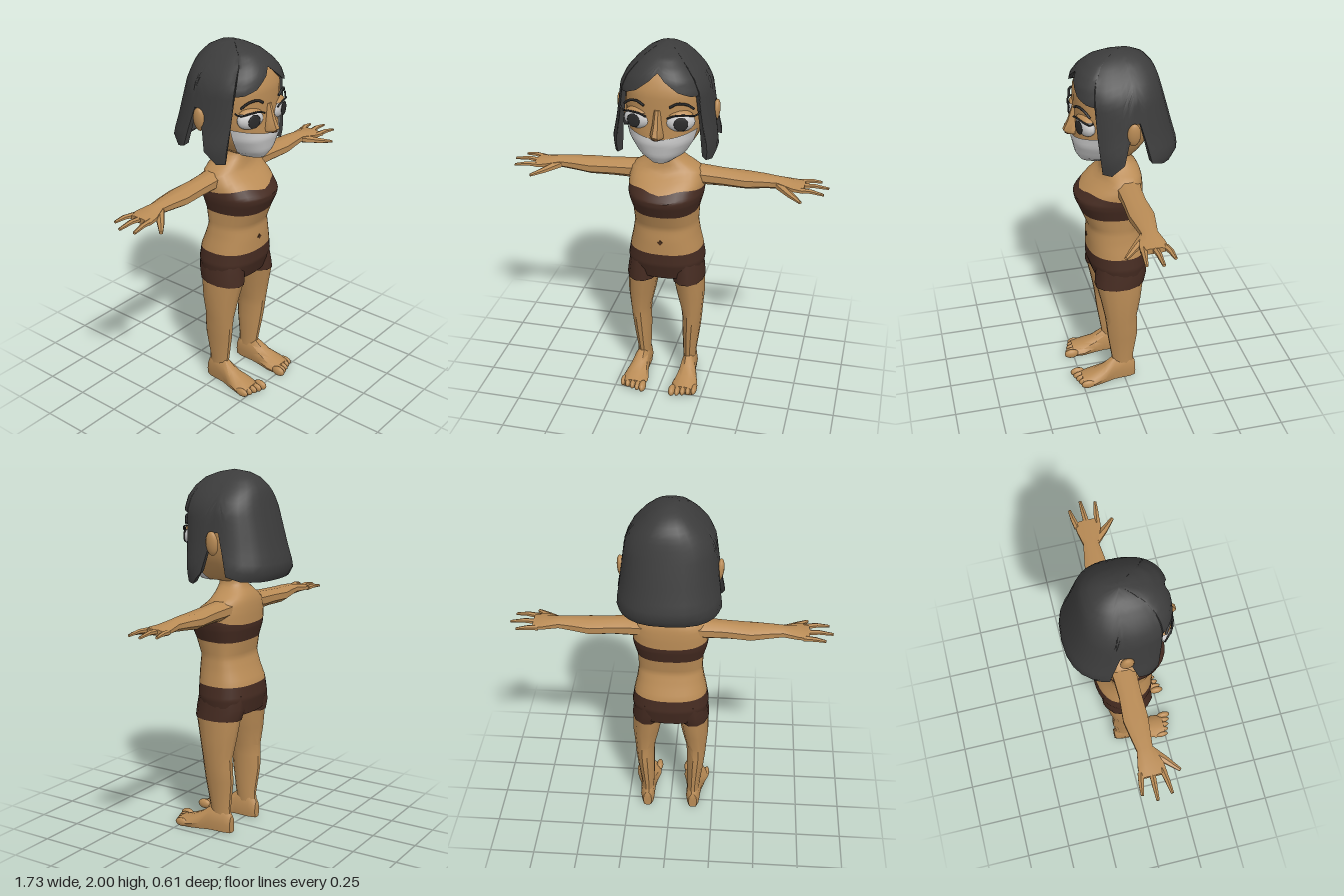
import * as THREE from 'three';
import { toCreasedNormals } from 'three/addons/utils/BufferGeometryUtils.js';

const flat = (name, color) => Object.assign(new THREE.MeshStandardMaterial({ color, side: THREE.DoubleSide }), { name });

// Interpolated row of a profile whose first number is the key
function sample(rows, k) {
  let i = 1;
  while (i < rows.length - 1 && rows[i][0] < k) i++;
  const a = rows[i - 1], b = rows[i];
  const t = THREE.MathUtils.clamp((k - a[0]) / (b[0] - a[0]), 0, 1);
  return a.map((v, n) => v + (b[n] - v) * t);
}

// Grid surface from a point rule; u runs around, v runs along
function surface(point, nu, nv, wrap = true, flip = false) {
  const pos = [], index = [], cols = wrap ? nu : nu + 1;
  for (let j = 0; j <= nv; j++) for (let i = 0; i < cols; i++) pos.push(...point(i, j));
  for (let j = 0; j < nv; j++) for (let i = 0; i < nu; i++) {
    const a = j * cols + i, b = j * cols + (i + 1) % cols, c = b + cols, d = a + cols;
    index.push(...(flip ? [a, c, b, a, d, c] : [a, b, c, a, c, d]));
  }
  const g = new THREE.BufferGeometry();
  g.setAttribute('position', new THREE.Float32BufferAttribute(pos, 3));
  g.setIndex(index);
  return toCreasedNormals(g, 0.75);
}

// Rounded section [y, halfWidth, front, back] at angle a (0 = front)
function onBody(rows, a, y, p) {
  const [, w, f, b] = sample(rows, y), s = Math.sin(a), c = Math.cos(a);
  return [w * Math.sign(s) * Math.abs(s) ** p, y, (c > 0 ? f : b) * Math.abs(c) ** p];
}

// Capped loft of closed rings; turned outwards by its signed volume
function loft(rings) {
  const centre = r => r[0].map((_, k) => r.reduce((t, q) => t + q[k], 0) / r.length);
  const n = rings[0].length;
  const all = [rings[0].map(() => centre(rings[0])), ...rings, rings.at(-1).map(() => centre(rings.at(-1)))];
  const make = flip => surface((i, j) => all[j][i], n, all.length - 1, true, flip);
  const g = make(false), p = g.attributes.position;
  const [a, b, c] = [0, 1, 2].map(() => new THREE.Vector3());
  const o = new THREE.Vector3(...centre(rings[0]));
  let volume = 0;
  for (let i = 0; i < p.count; i += 3) {
    [a, b, c].forEach((v, k) => v.fromBufferAttribute(p, i + k).sub(o));
    volume += a.dot(b.cross(c));
  }
  return volume < 0 ? make(true) : g;
}
const ring = (n, f) => Array.from({ length: n }, (_, i) => {
  const a = ((i + 0.5) / n) * Math.PI * 2;
  return f(Math.sin(a), Math.cos(a));
});

const TORSO = [[0.69, 0.2, 0.15, -0.13], [0.78, 0.213, 0.18, -0.15], [0.86, 0.2, 0.18, -0.14], [0.93, 0.185, 0.18, -0.11],
  [1, 0.175, 0.175, -0.085], [1.09, 0.18, 0.21, -0.1], [1.16, 0.2, 0.24, -0.118], [1.19, 0.205, 0.243, -0.12],
  [1.25, 0.205, 0.185, -0.12], [1.31, 0.19, 0.1, -0.115], [1.35, 0.12, 0.09, -0.1], [1.39, 0.068, 0.085, -0.07], [1.5, 0.062, 0.08, -0.055]];
const HEAD = [[1.41, 0.07, 0.2, -0.02], [1.45, 0.13, 0.225, -0.08], [1.53, 0.18, 0.243, -0.14], [1.6, 0.2, 0.235, -0.16],
  [1.7, 0.21, 0.235, -0.18], [1.8, 0.21, 0.235, -0.18], [1.9, 0.15, 0.19, -0.14], [1.95, 0.05, 0.08, -0.06]];
const HAIR = [[1.41, 0.275, 0.215, -0.25], [1.44, 0.28, 0.22, -0.275], [1.49, 0.285, 0.23, -0.305], [1.6, 0.262, 0.242, -0.272],
  [1.7, 0.248, 0.25, -0.245], [1.8, 0.235, 0.256, -0.217], [1.86, 0.205, 0.245, -0.2], [1.91, 0.16, 0.215, -0.182],
  [1.957, 0.108, 0.16, -0.14], [1.985, 0.058, 0.085, -0.085], [2, 0, 0, 0]];
// Lower edge of the hair by angle from the front
const HAIR_EDGE = [[0, 1.9], [0.12, 1.865], [0.4, 1.81], [0.7, 1.785], [0.93, 1.78], [0.96, 1.42], [1.2, 1.415], [1.48, 1.48],
  [1.64, 1.69], [1.72, 1.69], [1.88, 1.47], [2.2, 1.445], [2.65, 1.438], [Math.PI, 1.438]];
const ARM = [[0.14, 1.275, -0.02, 0.045, 0.07], [0.2, 1.268, -0.015, 0.052, 0.066], [0.3, 1.265, -0.014, 0.047, 0.063], [0.43, 1.26, -0.017, 0.045, 0.07],
  [0.52, 1.264, -0.014, 0.038, 0.057], [0.6, 1.265, -0.011, 0.031, 0.045], [0.68, 1.26, -0.002, 0.023, 0.072], [0.74, 1.257, 0, 0.016, 0.078]];
const LEG = [[0.05, 0.135, 0, 0.036, 0.06], [0.15, 0.135, 0.008, 0.037, 0.064], [0.3, 0.143, 0.01, 0.05, 0.086], [0.38, 0.148, 0.015, 0.054, 0.09],
  [0.44, 0.148, 0.02, 0.059, 0.092], [0.55, 0.14, 0.02, 0.077, 0.113], [0.67, 0.128, 0.025, 0.087, 0.135]];
const SHORT_LEG = [[0.66, 0.128, 0.025, 0.091, 0.139], [0.72, 0.12, 0.015, 0.093, 0.145], [0.8, 0.11, 0.01, 0.09, 0.14]];
const FOOT = [[-0.065, 0.135, 0.1, 0.025], [-0.03, 0.135, 0.15, 0.041], [0.06, 0.138, 0.145, 0.044], [0.12, 0.143, 0.098, 0.057],
  [0.19, 0.145, 0.066, 0.074], [0.25, 0.145, 0.05, 0.068]];

export function createModel() {
  const model = new THREE.Group();
  const skin = flat('skin', 0xba8c56), hairMat = flat('hair', 0x3c3c3c), cloth = flat('brown cloth', 0x452b21);
  const white = flat('pale grey', 0xcacaca), dark = flat('pupil black', 0x2b2b2b), brown = flat('dark brown', 0x4a2f1c);
  const add = (name, geo, mat, parent = model) => {
    const m = new THREE.Mesh(geo, mat);
    m.name = name;
    parent.add(m);
    return m;
  };
  const ball = (name, mat, r, at, parent = model, theta = Math.PI) => {
    const m = add(name, new THREE.SphereGeometry(1, 14, 10, 0, Math.PI * 2, 0, theta), mat, parent);
    m.scale.set(...r);
    m.position.set(...at);
    return m;
  };
  const strand = (name, pts, r, mat, parent) =>
    add(name, new THREE.TubeGeometry(new THREE.CatmullRomCurve3(pts.map(p => new THREE.Vector3(...p))), 10, r, 5), mat, parent);

  // Torso in colour bands
  const N = 32;
  const band = (name, lo, hi, mat) => add(name, surface((i, j) => {
    const a = (i / N) * Math.PI * 2;
    return onBody(TORSO, a, lo(a) + (hi(a) - lo(a)) * j / 14, 0.85);
  }, N, 14), mat);
  const topEdge = a => 1.215 + 0.03 * Math.cos(a) - 0.025 * Math.exp(-((Math.min(a, Math.PI * 2 - a) / 0.3) ** 2));
  band('shorts', () => 0.69, () => 0.85, cloth);
  band('waist', () => 0.85, () => 1.09, skin);
  band('bandeau', () => 1.09, topEdge, cloth);
  band('shouldersAndNeck', topEdge, () => 1.5, skin);
  const crotch = add('shortsUnderside', new THREE.CircleGeometry(1, 24), cloth);
  crotch.rotation.x = Math.PI / 2;
  crotch.scale.set(0.19, 0.135, 1);
  crotch.position.set(0, 0.692, 0.01);
  const navel = add('navel', new THREE.CylinderGeometry(0.015, 0.015, 0.006, 4), brown);
  navel.rotation.x = Math.PI / 2;
  navel.position.set(0, 0.925, 0.18);

  // Head, and the pale lower face lying just over it
  add('head', surface((i, j) => {
    const a = (i / N) * Math.PI * 2;
    if (j === 0) return [0, 1.41, 0.09];
    return j === 17 ? [0, 1.96, 0] : onBody(HEAD, a, 1.41 + 0.54 * (j - 1) / 15, 0.8);
  }, N, 17), skin);
  add('lowerFace', surface((i, j) => {
    const a = -1.12 + 2.24 * i / 24, top = 1.555 + 0.045 * Math.abs(Math.sin(a));
    if (j === 0) return [0, 1.405, 0.1];
    const [x, y, z] = onBody(HEAD, a, 1.41 + (top - 1.41) * (j - 1) / 10, 0.8);
    return [x * 1.03, y - 0.003, z + 0.007];
  }, 24, 11, false), white);

  // Nose
  add('nose', loft([[1.563, 0.228, 0.036, 0.05], [1.58, 0.23, 0.036, 0.068], [1.63, 0.226, 0.026, 0.046], [1.71, 0.222, 0.018, 0.022]]
    .map(([y, z, rx, rz]) => ring(8, (s, c) => [s * rx, y, z + c * rz]))), skin);
  ball('noseUnderside', brown, [0.028, 0.004, 0.04], [0, 1.562, 0.245]);

  // Bobbed hair: shell with a turned-in lower rim
  const edges = [...HAIR_EDGE.slice(0, -1).flatMap((e, i) => [e, sample([e, HAIR_EDGE[i + 1]], (e[0] + HAIR_EDGE[i + 1][0]) / 2)]), HAIR_EDGE.at(-1)];
  const around = [...edges, ...edges.slice(1, -1).reverse().map(([a, y]) => [Math.PI * 2 - a, y])];
  add('hair', surface((i, j) => {
    const [a, low] = around[i];
    const k = Math.max(0, j - 1) / 20;
    const p = onBody(HAIR, a, low + (2 - low) * Math.sin(k * Math.PI / 2), 0.8);
    return j ? p : [p[0] * 0.9, p[1] + 0.012, p[2] * 0.9];
  }, around.length, 21), hairMat);

  for (const s of [1, -1]) {
    const side = s > 0 ? 'left' : 'right';
    const part = (name, rings, mat) => add(side + name, loft(rings), mat);

    // Eye with pupil, lid, lashes and brow
    const eye = new THREE.Group();
    eye.name = side + 'Eye';
    eye.position.set(0.112 * s, 1.645, 0.198);
    eye.rotation.y = 0.3 * s;
    model.add(eye);
    ball('eyeWhite', white, [0.077, 0.052, 0.04], [0, 0, 0], eye);
    ball('pupil', dark, [0.037, 0.037, 0.006], [0, 0, 0.039], eye);
    ball('eyelid', skin, [0.08, 0.062, 0.046], [0, 0.004, 0], eye, Math.PI * 0.3);
    strand('lashes', [[-0.07 * s, 0.03, 0.03], [-0.03 * s, 0.048, 0.042], [0.03 * s, 0.048, 0.04], [0.075 * s, 0.038, 0.02], [0.1 * s, 0.055, 0.01]], 0.005, dark, eye);
    strand('eyebrow', [[-0.058 * s, 0.088, 0.03], [-0.02 * s, 0.108, 0.034], [0.03 * s, 0.1, 0.025], [0.068 * s, 0.072, 0.012]], 0.007, dark, eye);
    ball(side + 'Ear', skin, [0.022, 0.065, 0.036], [0.254 * s, 1.635, -0.02]).rotation.z = -0.12 * s;

    // Arm and palm
    part('Arm', ARM.map(([x, y, z, ry, rz]) => ring(8, (u, v) => [x * s, y + u * ry, z + v * rz])), skin);

    // Fingers and thumb: [base, knuckle, tip]
    [[[0.71, 1.257, -0.06], [0.77, 1.262, -0.073], [0.825, 1.256, -0.08]],
      [[0.71, 1.257, -0.004], [0.79, 1.264, -0.008], [0.867, 1.255, -0.01]],
      [[0.71, 1.257, 0.05], [0.78, 1.262, 0.061], [0.847, 1.253, 0.07]],
      [[0.61, 1.258, 0.015], [0.675, 1.243, 0.085], [0.735, 1.232, 0.142]]].forEach((pts, f) => {
      const dx = pts[2][0] - pts[0][0], dz = pts[2][2] - pts[0][2], l = Math.hypot(dx, dz);
      const r = f === 3 ? [0.03, 0.02, 0.01] : [0.019, 0.015, 0.009];
      part(f === 3 ? 'Thumb' : 'Finger' + (f + 1), pts.map(([x, y, z], k) =>
        ring(6, (u, v) => [(x - v * r[k] * dz / l) * s, y + u * r[k] * 0.8, z + v * r[k] * dx / l])), skin);
    });

    // Leg and the leg of the shorts
    const legRings = rows => rows.map(([y, x, z, rx, rz]) => ring(12, (u, v) => [(x + u * rx) * s, y, z + v * rz]));
    part('Leg', legRings(LEG), skin);
    part('ShortsLeg', legRings(SHORT_LEG), cloth);

    // Foot with a flat sole, and toes
    part('Foot', FOOT.map(([z, x, top, rx]) => ring(10, (u, v) => [(x + u * rx) * s, Math.max(0, top * (0.4 + 0.62 * v)), z])), skin);
    for (let t = 0; t < 5; t++) {
      const big = t ? 0.016 : 0.02;
      ball(side + 'Toe' + (t + 1), skin, [big, t ? 0.024 : 0.028, 0.042], [(0.086 + 0.03 * t) * s, t ? 0.025 : 0.029, 0.265 - 0.01 * t]);
    }
  }
  return model;
}
